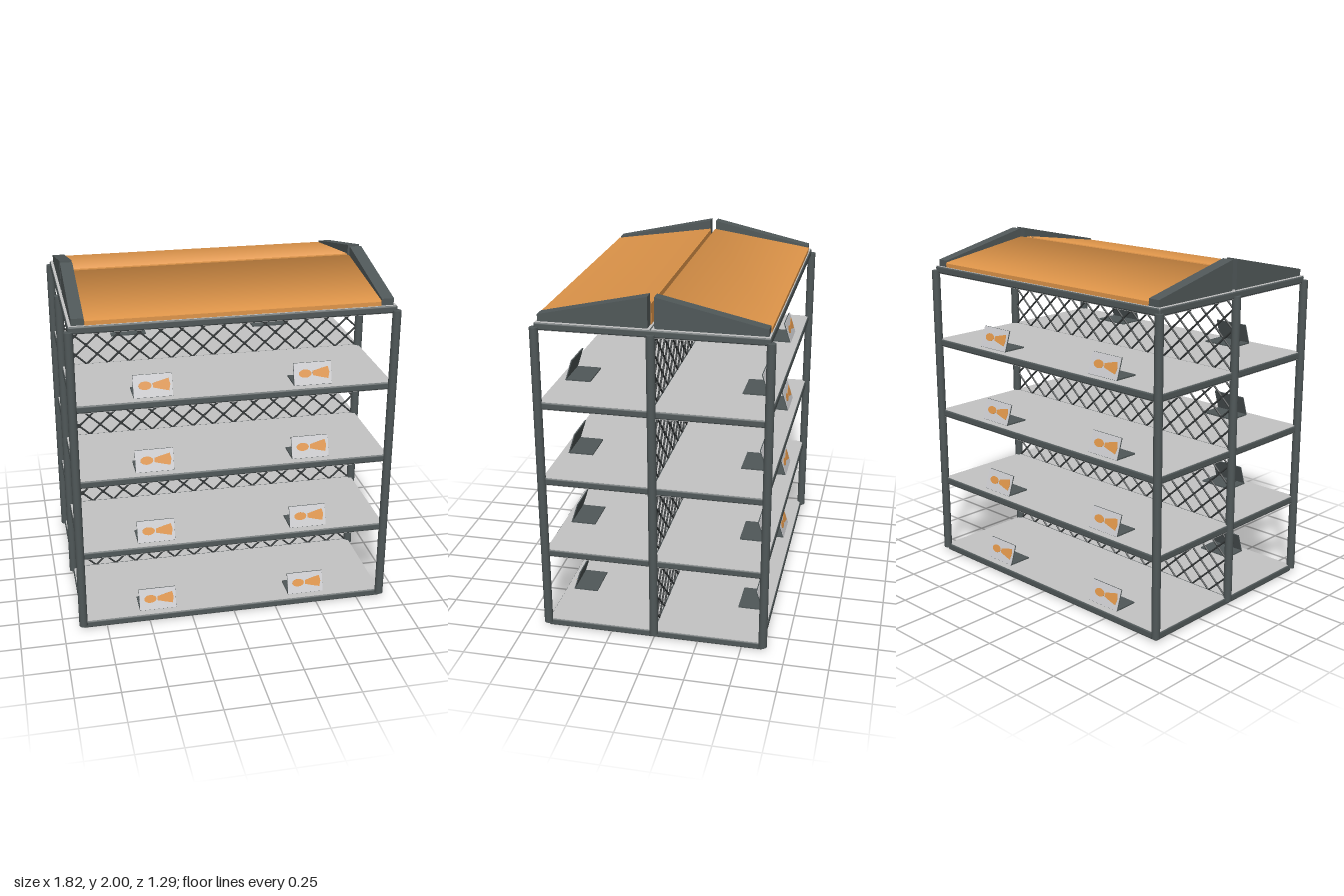
import * as THREE from 'three';
import { mergeGeometries } from 'three/addons/utils/BufferGeometryUtils.js';
import { RoundedBoxGeometry } from 'three/addons/geometries/RoundedBoxGeometry.js';

const mat = (name, color, side = THREE.FrontSide) =>
  new THREE.MeshStandardMaterial({ name, color, side });

export function createModel() {
  const frame = mat('frame grey', 0x505859);
  const wire = mat('wire dark grey', 0x383c3d);
  const shelfGrey = mat('shelf light grey', 0xc4c4c4);
  const cardGrey = mat('card pale grey', 0xcfcfd2);
  const orange = mat('orange', 0xe0964a, THREE.DoubleSide);

  const model = new THREE.Group();
  model.name = 'displayRack';
  const add = (parent, name, geo, material, x = 0, y = 0, z = 0) => {
    const m = new THREE.Mesh(geo, material);
    m.name = name;
    m.position.set(x, y, z);
    parent.add(m);
    return m;
  };
  const levels = [0.023, 0.474, 0.919, 1.365, 1.81];

  // Upright posts: four corners and two in the middle
  const postGeo = new THREE.CylinderGeometry(0.024, 0.024, 1.78, 16);
  for (const x of [-0.887, 0.887])
    for (const z of [-0.621, 0, 0.621]) add(model, 'post', postGeo, frame, x, 0.915, z);

  // Rails and the paired shelf boards at every level
  const longRail = new RoundedBoxGeometry(1.78, 0.043, 0.043, 2, 0.01);
  const sideRail = new RoundedBoxGeometry(0.043, 0.043, 1.24, 2, 0.01);
  const board = new THREE.BoxGeometry(1.77, 0.045, 0.611);
  for (const y of levels) {
    for (const z of [-0.599, 0.599]) add(model, 'longRail', longRail, frame, 0, y, z);
    for (const x of [-0.868, 0.868]) add(model, 'sideRail', sideRail, frame, x, y, 0);
    for (const s of [-1, 1]) add(model, 'shelf', board, shelfGrey, 0, y, s * 0.3095);
    add(model, 'middleRail', new THREE.BoxGeometry(1.74, 0.04, 0.02), frame, 0, y, 0);
  }

  // Wire mesh: diagonal strands in a grid of half diamonds, with small knots
  const cols = 28, rows = 7, width = 1.74;
  for (let k = 0; k < 4; k++) {
    const y0 = levels[k] + 0.02, height = levels[k + 1] - levels[k] - 0.04;
    const dx = width / cols, dy = height / rows;
    const parts = [];
    for (let i = 0; i < cols; i++) for (let j = 0; j < rows; j++) {
      const rising = (i + j) % 2 === 0;
      const strand = new THREE.CylinderGeometry(0.0055, 0.0055, Math.hypot(dx, dy), 6, 1, true);
      strand.rotateZ((rising ? -1 : 1) * Math.atan2(dx, dy));
      strand.translate(-width / 2 + (i + 0.5) * dx, y0 + (j + 0.5) * dy, 0);
      parts.push(strand);
      if (rising && j > 0) {
        const knot = new THREE.CylinderGeometry(0.008, 0.008, 0.018, 6);
        knot.translate(-width / 2 + i * dx, y0 + j * dy, 0);
        parts.push(knot);
      }
    }
    add(model, 'wireMesh', mergeGeometries(parts), wire);
  }

  // Leaning card holder with a two-part orange picture
  const blob = new THREE.CylinderGeometry(1, 1, 0.002, 16).rotateX(Math.PI / 2);
  const flare = new THREE.ExtrudeGeometry(new THREE.Shape([
    [-0.045, -0.012], [0, -0.024], [0.042, -0.034], [0.05, 0], [0.042, 0.034], [0, 0.024], [-0.045, 0.012],
  ].map(([x, y]) => new THREE.Vector2(x, y))), { depth: 0.002, bevelEnabled: false });
  const cardHolder = () => {
    const g = new THREE.Group();
    g.name = 'cardHolder';
    add(g, 'holderBase', new THREE.BoxGeometry(0.215, 0.008, 0.145), frame, 0, 0.004, -0.0725);
    const leaf = new THREE.Group();
    leaf.name = 'card';
    leaf.rotation.x = -0.31;
    add(leaf, 'cardBack', new THREE.BoxGeometry(0.215, 0.126, 0.006), frame, 0, 0.063, -0.003);
    add(leaf, 'cardFace', new THREE.BoxGeometry(0.213, 0.123, 0.003), cardGrey, 0, 0.063, 0.0015);
    add(leaf, 'pictureOval', blob, orange, -0.043, 0.065, 0.0038).scale.set(0.036, 0.023, 1);
    add(leaf, 'pictureFlare', flare, orange, 0.045, 0.065, 0.0028);
    g.add(leaf);
    return g;
  };
  for (const y of levels.slice(0, 4)) for (const s of [1, -1]) for (const x of [-0.445, 0.445]) {
    const holder = cardHolder();
    holder.position.set(x, y + 0.0225, s * 0.572);
    if (s < 0) holder.rotation.y = Math.PI;
    model.add(holder);
  }

  // Roof: two mirrored halves, each with sloping gables and an orange panel
  const prism = (pts, depth) => {
    const geo = new THREE.ExtrudeGeometry(
      new THREE.Shape(pts.map(([z, y]) => new THREE.Vector2(z, y))), { depth, bevelEnabled: false });
    return geo.translate(0, 0, -depth / 2).rotateY(-Math.PI / 2);
  };
  const gableGeo = prism([[0.018, 1.825], [0.605, 1.825], [0.605, 1.87], [0.018, 2]], 0.068);
  const coreGeo = prism([[0.014, 1.83], [0.61, 1.83], [0.61, 1.855], [0.014, 1.944]], 1.6);
  // Slope surface with normals leaning inward at the ridge for soft shading
  const slopeGeo = new THREE.BufferGeometry();
  slopeGeo.setAttribute('position', new THREE.Float32BufferAttribute(
    [-0.8, 1.95, 0.014, 0.8, 1.95, 0.014, -0.8, 1.86, 0.612, 0.8, 1.86, 0.612], 3));
  slopeGeo.setAttribute('normal', new THREE.Float32BufferAttribute(
    [0, 0.8, -0.6, 0, 0.8, -0.6, 0, 0.97, 0.24, 0, 0.97, 0.24], 3));
  slopeGeo.setIndex([0, 2, 1, 1, 2, 3]);
  for (const turn of [0, Math.PI]) {
    const half = new THREE.Group();
    half.name = turn ? 'backRoof' : 'frontRoof';
    half.rotation.y = turn;
    for (const x of [-0.836, 0.836]) add(half, 'gable', gableGeo, frame, x);
    add(half, 'roofBody', coreGeo, orange);
    add(half, 'roofSlope', slopeGeo, orange);
    model.add(half);
  }
  return model;
}
